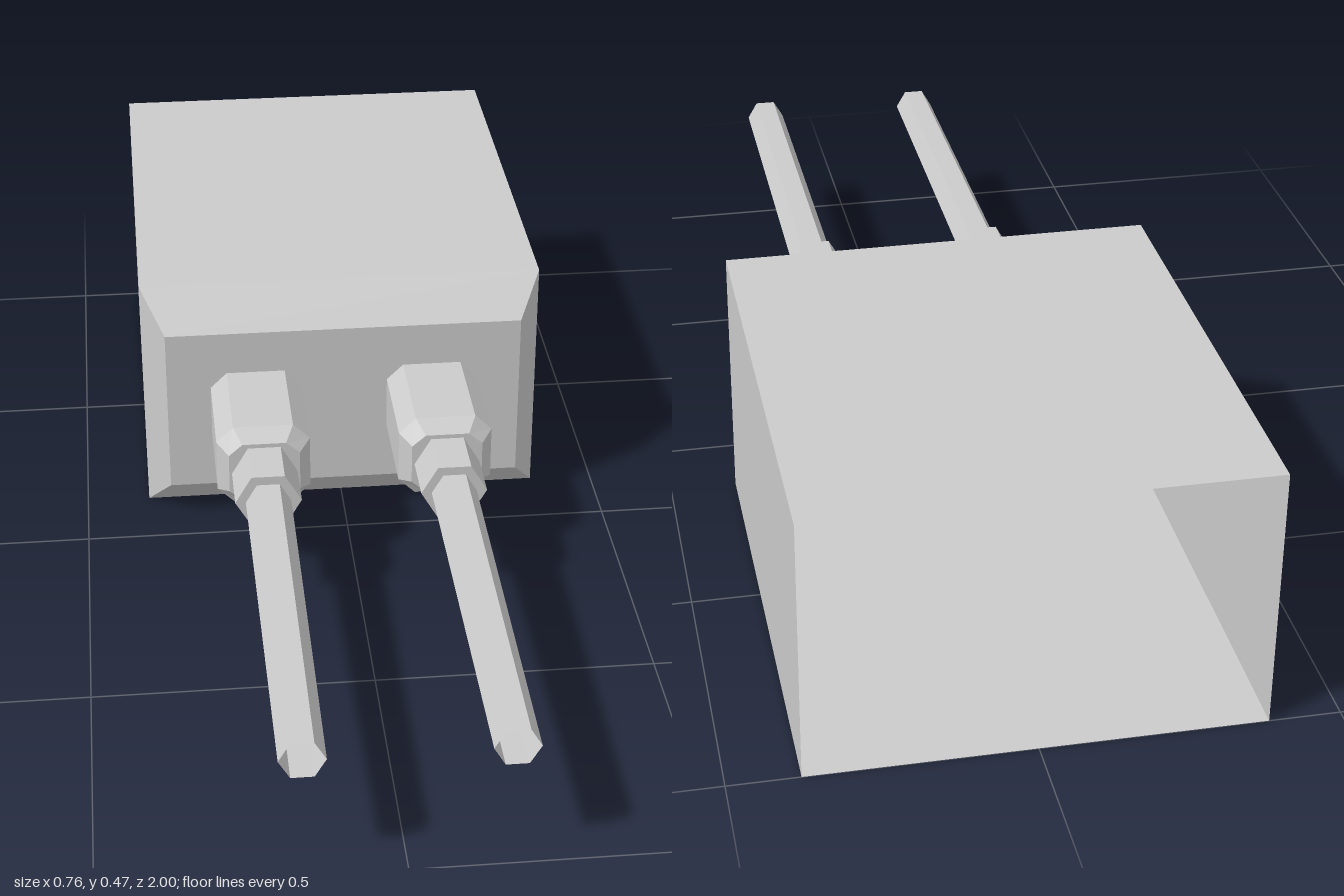
import * as THREE from 'three';

// Cross-section outlines, counter-clockwise as seen from the front
const rect = (w, h) => [[w, -h], [w, h], [-w, h], [-w, -h]];
const octagon = (w, h, cw, ch) => [
  [w, -ch], [w, ch], [cw, h], [-cw, h], [-w, ch], [-w, -ch], [-cw, -h], [cw, -h],
];
const hexagon = (r) => Array.from({ length: 6 }, (_, i) => {
  const a = (i * Math.PI) / 3;
  return [r * Math.cos(a), r * Math.sin(a)];
});

// Joins outlines along z, from back to front; the back stays open
function loft(name, material, sections, capFront) {
  const pos = [];
  const tri = (...pts) => pts.forEach((p) => pos.push(...p));
  const rings = sections.map(([z, outline]) => outline.map(([x, y]) => [x, y, z]));
  const n = rings[0].length;
  for (let s = 0; s < rings.length - 1; s++) {
    for (let i = 0; i < n; i++) {
      const j = (i + 1) % n;
      const a = rings[s][i], b = rings[s][j], c = rings[s + 1][j], d = rings[s + 1][i];
      tri(a, b, c);
      tri(a, c, d);
    }
  }
  if (capFront) {
    const end = rings[rings.length - 1];
    for (let i = 1; i < n - 1; i++) tri(end[0], end[i], end[i + 1]);
  }
  const geometry = new THREE.BufferGeometry();
  geometry.setAttribute('position', new THREE.Float32BufferAttribute(pos, 3));
  geometry.computeVertexNormals();
  const mesh = new THREE.Mesh(geometry, material);
  mesh.name = name;
  return mesh;
}

export function createModel() {
  const model = new THREE.Group();
  model.name = 'twinPinHousing';
  const material = new THREE.MeshStandardMaterial({
    color: 0xcccccc, flatShading: true, side: THREE.DoubleSide,
  });
  const midY = 0.234;

  // Thin-walled housing, open at the back, with a bevelled front
  const housing = loft('housing', material, [
    [-1, rect(0.38, midY)],
    [-0.135, rect(0.38, midY)],
    [-0.067, rect(0.337, 0.164)],
  ], true);
  housing.position.y = midY;
  model.add(housing);

  // Two pins, each a collar, a nut and a hollow rod
  for (const side of [-1, 1]) {
    const pin = new THREE.Group();
    pin.name = side > 0 ? 'leftPin' : 'rightPin';
    pin.position.set(side * 0.168, midY, 0);

    const collarOutline = octagon(0.086, 0.08, 0.055, 0.05);
    pin.add(loft('collar', material, [
      [-0.067, collarOutline],
      [0.133, collarOutline],
      [0.163, octagon(0.065, 0.06, 0.04, 0.038)],
    ], true));

    pin.add(loft('nut', material, [[0.163, hexagon(0.06)], [0.263, hexagon(0.06)]], true));

    // Slightly tapered tube, open at the tip
    pin.add(loft('rod', material, [[0.263, hexagon(0.041)], [1, hexagon(0.038)]], false));
    model.add(pin);
  }
  return model;
}
